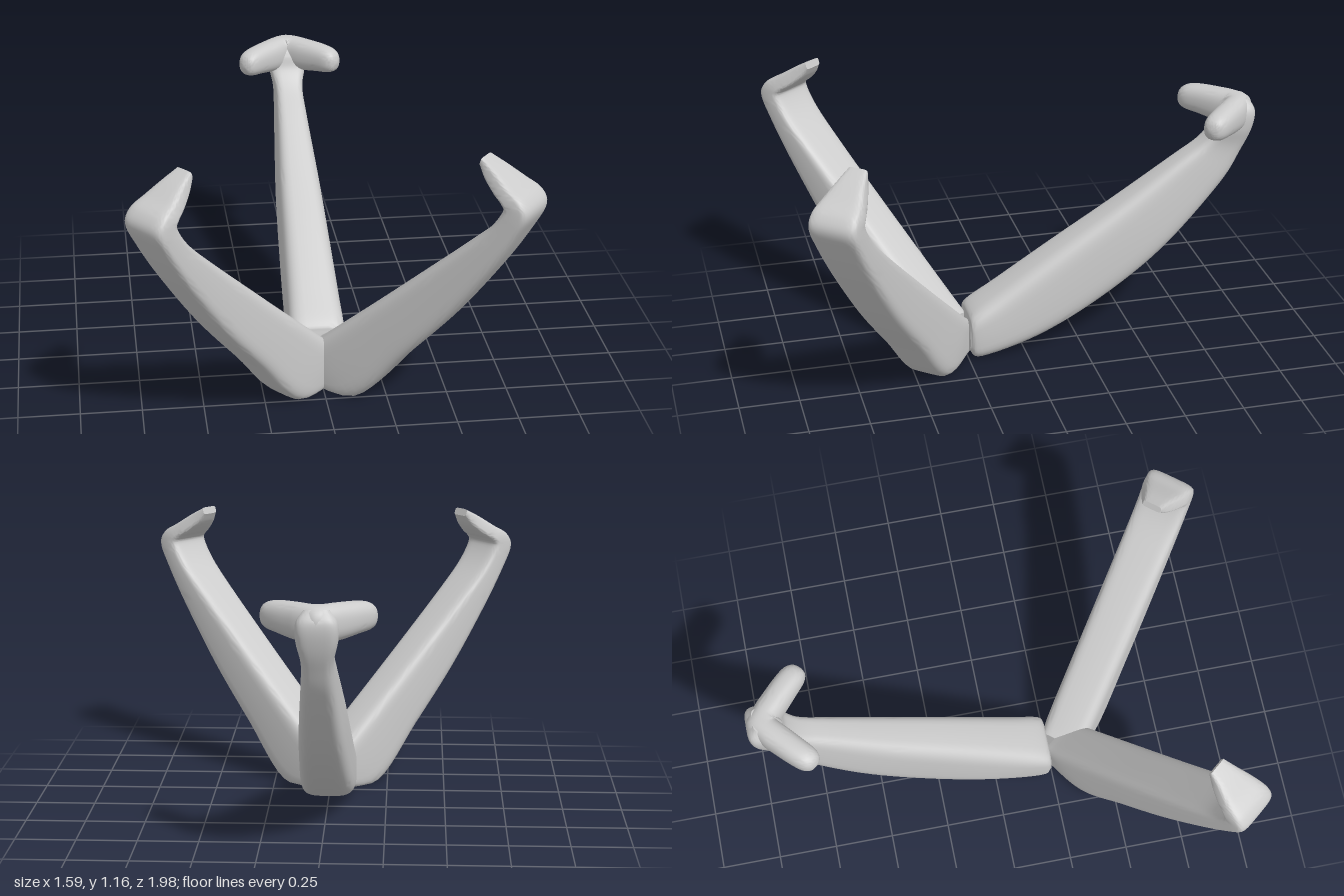
import * as THREE from 'three';
import { toCreasedNormals } from 'three/addons/utils/BufferGeometryUtils.js';

const material = new THREE.MeshStandardMaterial({ color: 0xcccccc });
const V = (x, y, z) => new THREE.Vector3(x, y, z);

// Smooth loft through stations { c: centre, u, v: half axes } with superellipse sections
function loft(stations, power, steps, sides = 40) {
  const curve = key => new THREE.CatmullRomCurve3(stations.map(s => s[key]), false, 'catmullrom', 0.5);
  const [C, U, W] = ['c', 'u', 'v'].map(curve);
  const rows = (stations.length - 1) * steps;
  const pos = [], idx = [];
  const round = k => Math.sign(k) * Math.pow(Math.abs(k), 2 / power);
  const put = p => pos.push(p.x, Math.max(p.y, 0), p.z);
  for (let i = 0; i <= rows; i++) {
    const c = C.getPoint(i / rows), u = U.getPoint(i / rows), v = W.getPoint(i / rows);
    for (let j = 0; j < sides; j++) {
      const a = (j / sides) * Math.PI * 2;
      put(c.clone().addScaledVector(u, round(Math.cos(a))).addScaledVector(v, round(Math.sin(a))));
    }
  }
  for (let i = 0; i < rows; i++) {
    for (let j = 0; j < sides; j++) {
      const k = (j + 1) % sides, a = i * sides, b = a + sides;
      idx.push(a + j, a + k, b + j, a + k, b + k, b + j);
    }
  }
  // End caps
  const first = pos.length / 3;
  put(stations[0].c);
  put(stations[stations.length - 1].c);
  for (let j = 0; j < sides; j++) {
    const k = (j + 1) % sides, e = rows * sides;
    idx.push(first, k, j, first + 1, e + j, e + k);
  }
  const g = new THREE.BufferGeometry();
  g.setAttribute('position', new THREE.Float32BufferAttribute(pos, 3));
  g.setIndex(idx);
  return toCreasedNormals(g, 0.7);
}

// Arm in a vertical plane; rows are [inner s, inner y, outer s, outer y, half width]
function arm(name, dx, dz, startZ, profile, power) {
  const stations = profile.map(([si, yi, so, yo, w]) => {
    const at = (s, y) => V(dx * s, y, startZ + dz * s);
    const inner = at(si, yi), outer = at(so, yo);
    return {
      c: inner.clone().add(outer).multiplyScalar(0.5),
      u: inner.clone().sub(outer).multiplyScalar(0.5),
      v: V(-dz * w, 0, dx * w),
    };
  });
  const mesh = new THREE.Mesh(loft(stations, power, 6), material);
  mesh.name = name;
  return mesh;
}

const frontProfile = [
  [-0.02, 0.17, -0.02, 0, 0.09],
  [0.04, 0.22, 0.21, 0, 0.102],
  [0.25, 0.405, 0.42, 0.23, 0.104],
  [0.45, 0.585, 0.625, 0.465, 0.104],
  [0.66, 0.775, 0.81, 0.72, 0.104],
  [0.79, 0.9, 0.915, 0.89, 0.104],
  [0.85, 0.99, 0.96, 0.985, 0.104],
  [0.84, 1.02, 0.935, 1.045, 0.1],
  [0.805, 1.045, 0.87, 1.085, 0.085],
  [0.755, 1.09, 0.8, 1.13, 0.06],
  [0.725, 1.135, 0.735, 1.165, 0.04],
];

const backProfile = [
  [-0.245, 0.17, -0.245, 0.03, 0.1],
  [-0.225, 0.21, -0.19, 0, 0.118],
  [-0.1, 0.295, 0.07, 0.07, 0.115],
  [0.15, 0.46, 0.34, 0.21, 0.105],
  [0.4, 0.62, 0.61, 0.41, 0.092],
  [0.66, 0.795, 0.86, 0.68, 0.07],
  [0.78, 0.875, 0.95, 0.83, 0.063],
  [0.84, 0.94, 0.99, 0.93, 0.08],
  [0.86, 1.0, 1.0, 1.01, 0.08],
  [0.89, 1.05, 0.97, 1.06, 0.05],
];

// Forked hook on the back arm; rows are [x, z, centre y, half height, half thickness]
function forkedHook() {
  const half = [
    [0.035, -0.915, 1.0, 0.072, 0.056],
    [0.08, -0.875, 1.0, 0.07, 0.056],
    [0.14, -0.82, 1.003, 0.062, 0.054],
    [0.18, -0.78, 1.002, 0.054, 0.049],
    [0.2, -0.757, 1.0, 0.038, 0.034],
    [0.207, -0.748, 1.0, 0.012, 0.012],
  ];
  const build = (row, side) => {
    const [x, z, y, h, t] = row;
    const k = Math.SQRT1_2 * t;
    // The thickness axis turns with the V-shaped path
    return { c: V(side * x, y, z), u: V(0, h, 0), v: V(-side * k * (side ? 1 : 0), 0, side ? k : t * 1.3) };
  };
  const stations = [
    ...half.slice().reverse().map(r => build(r, -1)),
    build([0, -0.928, 1, 0.072, 0.056], 0),
    ...half.map(r => build(r, 1)),
  ];
  const mesh = new THREE.Mesh(loft(stations, 2.4, 4), material);
  mesh.name = 'forkedHook';
  return mesh;
}

export function createModel() {
  const model = new THREE.Group();
  model.name = 'threeArmStand';
  model.add(
    arm('leftFrontArm', 0.776, 0.63, 0.31, frontProfile, 5),
    arm('rightFrontArm', -0.776, 0.63, 0.31, frontProfile, 5),
    arm('backArm', 0, -1, 0, backProfile, 4),
    forkedHook(),
  );
  return model;
}
